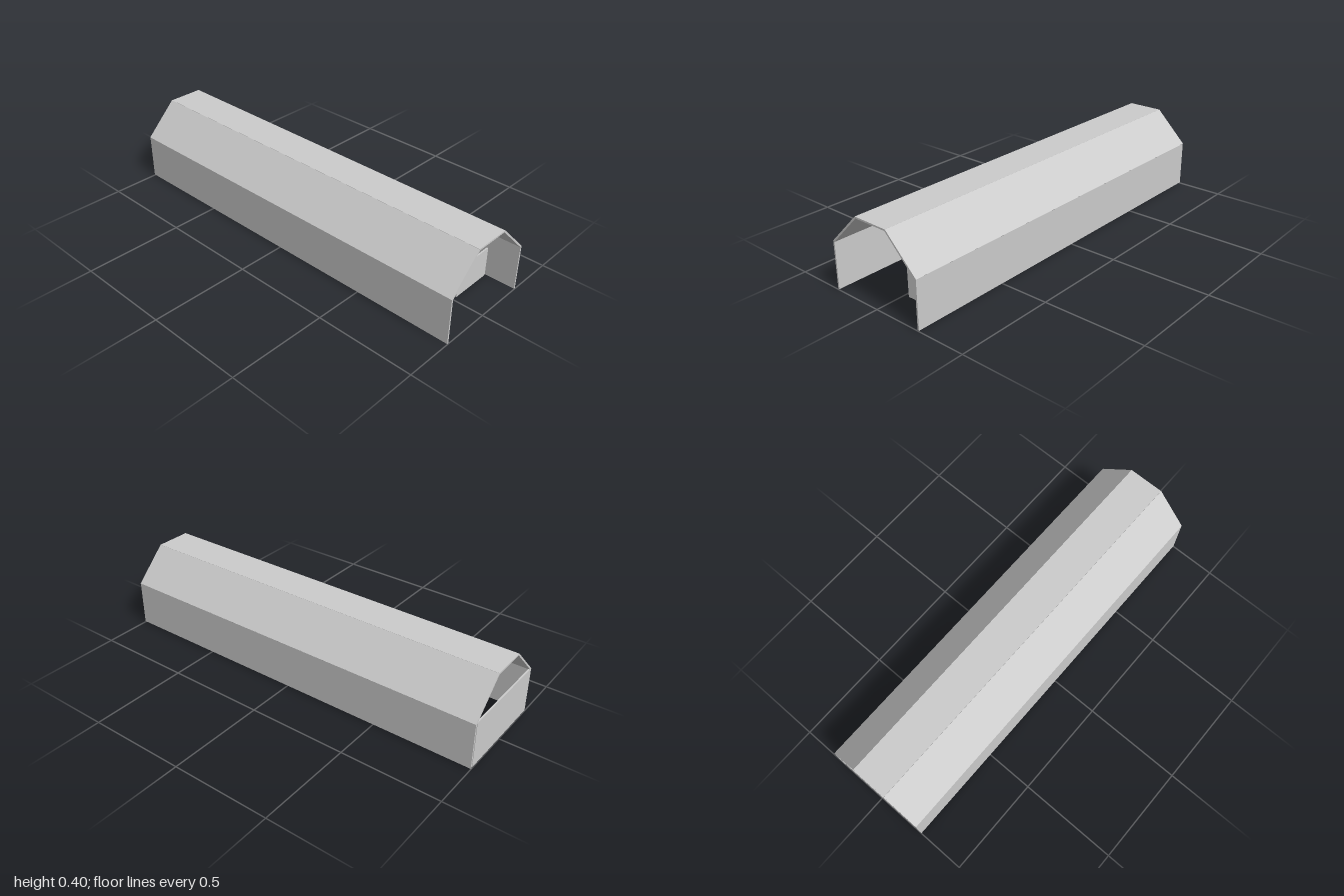
import * as THREE from 'three';

const material = new THREE.MeshStandardMaterial({ color: 0xcccccc, flatShading: true });

const LENGTH = 2;
const T = 0.008; // panel thickness

export function createModel() {
  const model = new THREE.Group();
  model.name = 'barn';

  // Box panel given by its min and max corners
  const panel = (name, [x0, y0, z0], [x1, y1, z1]) => {
    const mesh = new THREE.Mesh(new THREE.BoxGeometry(x1 - x0, y1 - y0, z1 - z0), material);
    mesh.position.set((x0 + x1) / 2, (y0 + y1) / 2, (z0 + z1) / 2);
    mesh.name = name;
    model.add(mesh);
  };

  // Roof panel: a [z, y] section swept along the whole length
  const roofPanel = (name, section) => {
    const shape = new THREE.Shape(section.map(([z, y]) => new THREE.Vector2(-z, y)));
    const geometry = new THREE.ExtrudeGeometry(shape, { depth: LENGTH, bevelEnabled: false });
    geometry.translate(0, 0, -LENGTH / 2).rotateY(Math.PI / 2);
    const mesh = new THREE.Mesh(geometry, material);
    mesh.name = name;
    model.add(mesh);
  };

  // Long side walls
  panel('frontWall', [-1, 0.004, 0.25], [1, 0.237, 0.258]);
  panel('backWall', [-1, 0.004, -0.258], [1, 0.237, -0.25]);

  // Closed end; the other end and both gables stay open
  panel('endWall', [-1, 0.004, -0.245], [-1 + T, 0.238, 0.25]);

  // Gambrel roof: two slopes and a flat ridge panel
  for (const s of [1, -1]) {
    roofPanel(s > 0 ? 'frontRoofSlope' : 'backRoofSlope', [
      [s * 0.259, 0.238], [s * 0.252, 0.232], [s * 0.087, 0.396], [s * 0.093, 0.402],
    ]);
  }
  roofPanel('roofRidge', [[0.092, 0.402], [0.092, 0.394], [-0.092, 0.394], [-0.092, 0.402]]);

  // Staggered stall dividers on either side of the central aisle
  for (const x of [-0.58, -0.08, 0.46]) {
    panel('frontStallDivider', [x - T / 2, 0, 0.025], [x + T / 2, 0.153, 0.25]);
  }
  for (const x of [-0.39, 0.175, 0.84]) {
    panel('backStallDivider', [x - T / 2, 0, -0.249], [x + T / 2, 0.153, -0.024]);
  }

  return model;
}
